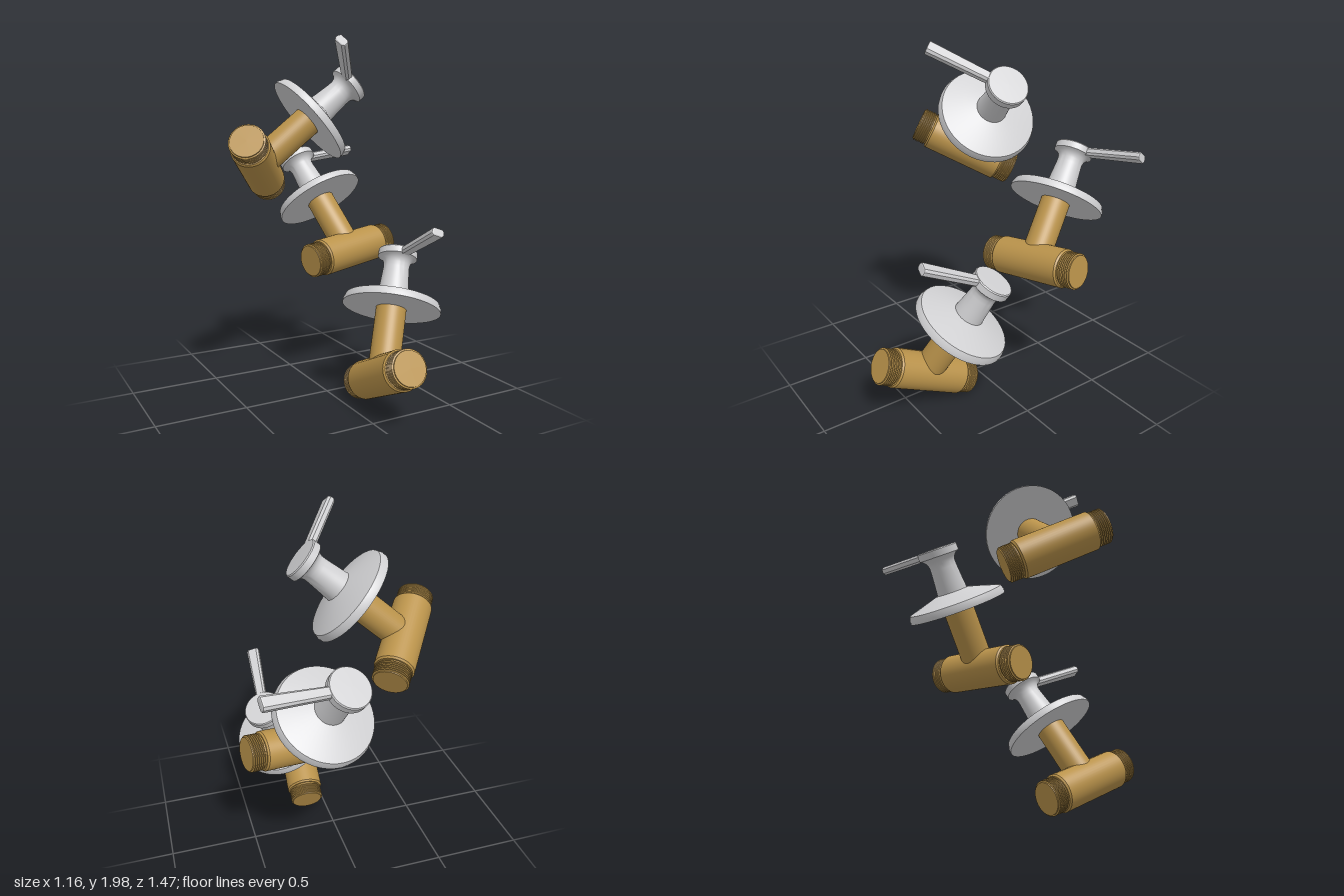
import * as THREE from 'three';
import { toCreasedNormals } from 'three/addons/utils/BufferGeometryUtils.js';

const brass = new THREE.MeshStandardMaterial({ color: 0xba934b });
brass.name = 'brass';
const chrome = new THREE.MeshStandardMaterial({ color: 0xd0d0d2 });
chrome.name = 'chrome';

// Turned part: profile of [radius, height] from bottom to top
function turned(profile) {
  const points = profile.map(([r, y]) => new THREE.Vector2(r, y));
  return toCreasedNormals(new THREE.LatheGeometry(points, 48), 0.5);
}

// Horizontal pipe with a threaded neck at each end, lying along x
function pipeGeometry() {
  const half = [[0.1, 0.225], [0.108, 0.215]];
  const rings = 6, start = 0.232, pitch = 0.011;
  const neck = [[0, 0.303], [0.09, 0.303]];
  for (let i = rings - 1; i >= 0; i--) {
    const y = start + i * pitch;
    neck.push([0.091, y + pitch * 0.95], [0.099, y + pitch * 0.65], [0.099, y + pitch * 0.35], [0.091, y]);
  }
  const upperDown = [...neck, [0.091, 0.225], ...half];
  const lower = upperDown.map(([r, y]) => [r, -y]);
  return turned([...lower, ...upperDown.reverse()]).rotateZ(-Math.PI / 2);
}

// Lever: chamfered bar along x, widening toward its free end
function leverGeometry() {
  const w = 0.036, h = 0.0235, c = 0.012;
  const section = new THREE.Shape([
    [-w + c, -h], [w - c, -h], [w, -h + c], [w, h - c],
    [w - c, h], [-w + c, h], [-w, h - c], [-w, -h + c],
  ].map(([x, y]) => new THREE.Vector2(x, y)));
  const bevel = 0.008, from = 0.05, to = 0.445;
  const geo = new THREE.ExtrudeGeometry(section, {
    depth: to - from - 2 * bevel, bevelEnabled: true, bevelThickness: bevel,
    bevelSize: bevel, bevelOffset: -bevel, bevelSegments: 2,
  });
  geo.rotateY(Math.PI / 2).translate(from + bevel, 0.686, 0);
  const pos = geo.attributes.position;
  for (let i = 0; i < pos.count; i++) {
    const t = (pos.getX(i) - from) / (to - from);
    pos.setZ(i, pos.getZ(i) * (0.78 + 0.24 * t));
  }
  geo.computeVertexNormals();
  return geo;
}

const parts = [
  ['threadedPipe', pipeGeometry(), brass],
  ['stem', turned([[0.084, 0], [0.084, 0.375]]), brass],
  ['wallPlate', turned([
    [0, 0.368], [0.272, 0.368], [0.272, 0.385], [0.262, 0.412], [0.09, 0.463], [0, 0.466],
  ]), chrome],
  ['knob', turned([
    [0.085, 0.455], [0.079, 0.52], [0.073, 0.6], [0.073, 0.625], [0.08, 0.645],
    [0.095, 0.66], [0.111, 0.668], [0.111, 0.705], [0.106, 0.711], [0, 0.714],
  ]), chrome],
  ['lever', leverGeometry(), chrome],
];

// Each valve: pipe centre, pipe axis (the side the lever points to), stem axis
const valves = [
  { name: 'upperValve', at: [-0.34, 1.32, -0.165], pipe: [-0.325, 0.26, 0.44], stem: [0.535, 0.46, 0.1] },
  { name: 'middleValve', at: [0.265, 0.785, -0.21], pipe: [0.57, 0.065, -0.12], stem: [-0.155, 0.555, -0.42] },
  { name: 'lowerValve', at: [0.11, 0.22, 0.42], pipe: [-0.04, 0.26, 0.56], stem: [0.27, 0.6, -0.265] },
];

export function createModel() {
  const model = new THREE.Group();
  model.name = 'valveSet';
  for (const { name, at, pipe, stem } of valves) {
    const valve = new THREE.Group();
    valve.name = name;
    for (const [partName, geometry, material] of parts) {
      const mesh = new THREE.Mesh(geometry, material);
      mesh.name = partName;
      valve.add(mesh);
    }
    // Square up the axes and pose the valve
    const y = new THREE.Vector3(...stem).normalize();
    const x = new THREE.Vector3(...pipe);
    x.addScaledVector(y, -x.dot(y)).normalize();
    const z = new THREE.Vector3().crossVectors(x, y);
    valve.quaternion.setFromRotationMatrix(new THREE.Matrix4().makeBasis(x, y, z));
    valve.position.set(...at);
    model.add(valve);
  }
  return model;
}
